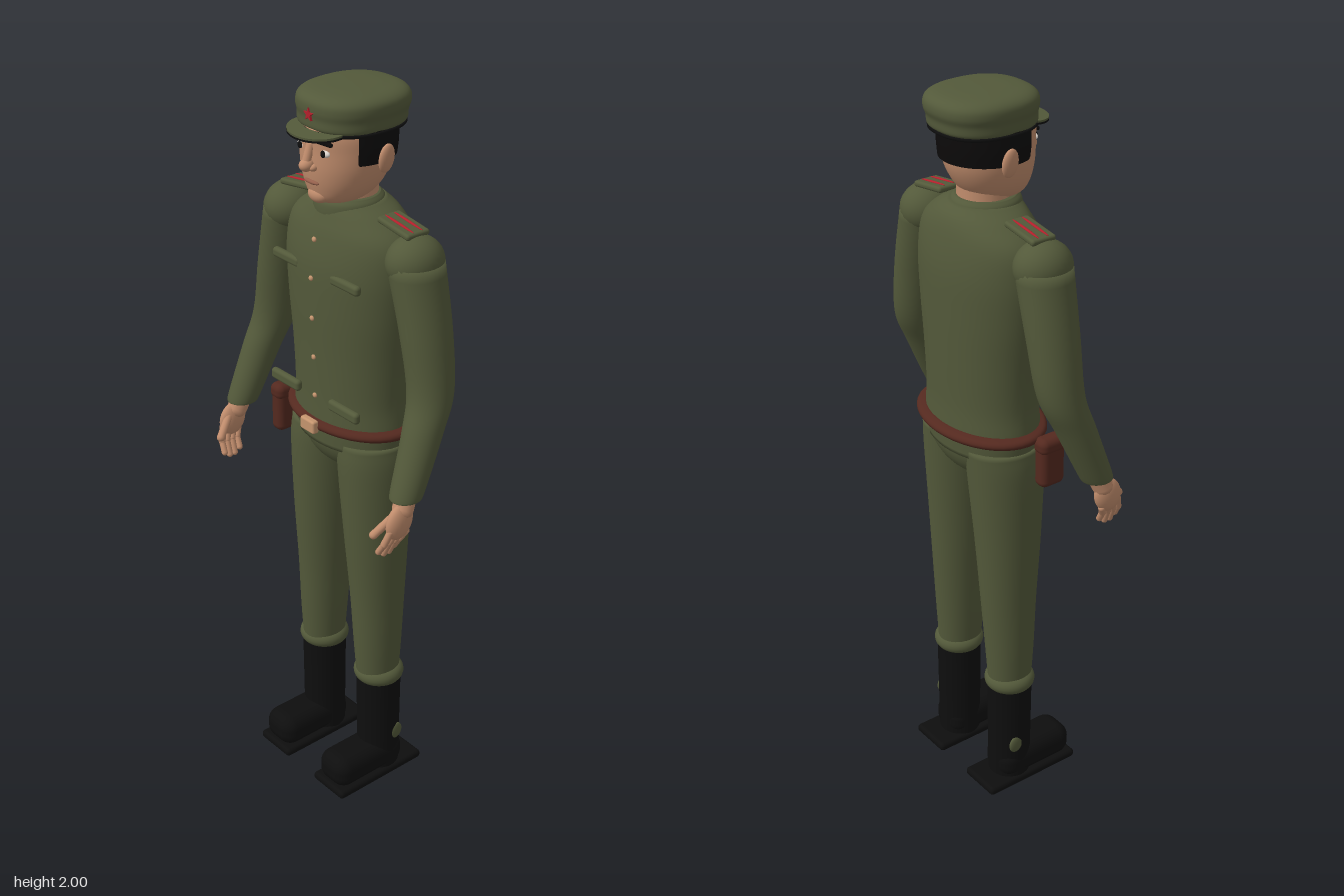
import * as THREE from 'three';
import { RoundedBoxGeometry } from 'three/addons/geometries/RoundedBoxGeometry.js';

const mat = (name, color, side = THREE.FrontSide) => {
  const m = new THREE.MeshStandardMaterial({ color, side });
  m.name = name;
  return m;
};

// Smooth body through horizontal sections [y, cx, cz, rx, rz]; n > 2 squares the outline off
function loft(rows, { n = 2, steps = 6, seg = 40, from = 0, to = Math.PI * 2, caps = true } = {}) {
  const closed = to - from > 6.28;
  const a = new THREE.CatmullRomCurve3(rows.map(r => new THREE.Vector3(r[1], r[0], r[2])), false, 'catmullrom');
  const b = new THREE.CatmullRomCurve3(rows.map(r => new THREE.Vector3(r[3], r[4], 0)), false, 'catmullrom');
  const count = (rows.length - 1) * steps, cols = closed ? seg : seg + 1;
  const pos = [], idx = [];
  const pw = v => Math.sign(v) * Math.abs(v) ** (2 / n);
  for (let i = 0; i <= count; i++) {
    const c = a.getPoint(i / count), r = b.getPoint(i / count);
    for (let j = 0; j < cols; j++) {
      const t = from + (to - from) * j / seg;
      pos.push(c.x + r.x * pw(Math.cos(t)), c.y, c.z + r.y * pw(Math.sin(t)));
    }
  }
  for (let i = 0; i < count; i++) for (let j = 0; j < seg; j++) {
    const k = (j + 1) % cols, p = i * cols, q = p + cols;
    idx.push(p + j, q + j, p + k, p + k, q + j, q + k);
  }
  if (closed && caps) {
    const lo = a.getPoint(0), hi = a.getPoint(1), base = pos.length / 3, last = count * cols;
    pos.push(lo.x, lo.y, lo.z, hi.x, hi.y, hi.z);
    for (let j = 0; j < seg; j++) {
      const k = (j + 1) % cols;
      idx.push(base, j, k, base + 1, last + k, last + j);
    }
  }
  const g = new THREE.BufferGeometry();
  g.setAttribute('position', new THREE.Float32BufferAttribute(pos, 3));
  g.setIndex(idx);
  g.computeVertexNormals();
  return g;
}

const ball = (rx, ry, rz) => new THREE.SphereGeometry(1, 28, 20).scale(rx, ry, rz);
const box = (w, h, d, r) => new RoundedBoxGeometry(w, h, d, 4, r);

export function createModel() {
  const root = new THREE.Group();
  root.name = 'soldier';
  const green = mat('uniformGreen', 0x53593a);
  const skin = mat('skin', 0xc08c6c);
  const black = mat('black', 0x0e0e0e);
  const hairBlack = mat('hairBlack', 0x0c0a0a, THREE.DoubleSide);
  const brown = mat('leatherBrown', 0x54291f);
  const red = mat('red', 0xb3202c);
  const brass = mat('brass', 0xc4946e);
  const lip = mat('lip', 0x94604c);
  const white = mat('eyeWhite', 0xe0d8d0);

  const add = (name, geo, m, x = 0, y = 0, z = 0) => {
    const mesh = new THREE.Mesh(geo, m);
    mesh.name = name;
    mesh.position.set(x, y, z);
    root.add(mesh);
    return mesh;
  };
  const rod = (name, p, q, r, m) => {
    const a = new THREE.Vector3(...p), b = new THREE.Vector3(...q), d = b.clone().sub(a);
    const mesh = add(name, new THREE.CapsuleGeometry(r, d.length(), 6, 12), m);
    mesh.position.copy(a.add(b).multiplyScalar(0.5));
    mesh.quaternion.setFromUnitVectors(new THREE.Vector3(0, 1, 0), d.normalize());
  };

  // Tunic, collar and pelvis
  add('tunic', loft([
    [1.06, 0, -0.033, 0.178, 0.122], [1.12, 0, -0.033, 0.183, 0.126], [1.2, 0, -0.032, 0.177, 0.125],
    [1.32, 0, -0.032, 0.184, 0.128], [1.45, 0, -0.031, 0.199, 0.132], [1.56, 0, -0.031, 0.206, 0.132],
    [1.64, 0, -0.032, 0.193, 0.12], [1.69, 0, -0.032, 0.14, 0.104], [1.72, 0, -0.025, 0.085, 0.085],
  ]), green);
  add('collar', loft([
    [1.68, 0, -0.022, 0.092, 0.092], [1.7, 0, -0.02, 0.091, 0.091], [1.72, 0, -0.02, 0.087, 0.088], [1.732, 0, -0.02, 0.076, 0.077],
  ]), green);
  add('pelvis', ball(0.178, 0.125, 0.118), green, 0, 1.085, -0.035);

  // Belt, buckle and holster
  add('belt', loft([
    [1.106, 0, -0.036, 0.18, 0.125], [1.111, 0, -0.036, 0.2, 0.14], [1.121, 0, -0.036, 0.206, 0.146],
    [1.131, 0, -0.036, 0.2, 0.14], [1.136, 0, -0.036, 0.18, 0.125],
  ]), brown);
  add('buckle', box(0.055, 0.036, 0.02, 0.006), brass, 0, 1.121, 0.113);
  add('holster', box(0.045, 0.14, 0.075, 0.018), brown, -0.214, 1.06, 0.022);
  add('holsterFlap', box(0.05, 0.045, 0.08, 0.018), brown, -0.214, 1.108, 0.022);

  // Tunic buttons
  for (const [y, z] of [[1.63, 0.092], [1.53, 0.103], [1.42, 0.101], [1.31, 0.097], [1.2, 0.094]])
    add('button', ball(0.007, 0.007, 0.005), brass, 0, y, z);

  // Neck, head and face
  add('neck', new THREE.CylinderGeometry(0.068, 0.07, 0.1, 28), skin, 0, 1.73, -0.025);
  add('head', loft([
    [1.718, 0, 0.01, 0.03, 0.04], [1.732, 0, 0.008, 0.062, 0.075], [1.765, 0, -0.002, 0.09, 0.098],
    [1.81, 0, -0.01, 0.107, 0.113], [1.86, 0, -0.014, 0.113, 0.117], [1.91, 0, -0.016, 0.112, 0.117],
    [1.95, 0, -0.02, 0.09, 0.095],
  ]), skin);
  add('chin', ball(0.032, 0.022, 0.022), skin, 0, 1.745, 0.076);
  rod('noseBridge', [0, 1.875, 0.1], [0, 1.835, 0.114], 0.011, skin);
  add('noseTip', ball(0.017, 0.016, 0.02), skin, 0, 1.827, 0.113);
  add('mouth', ball(0.027, 0.006, 0.008), lip, 0, 1.782, 0.098);
  add('hair', loft([
    [1.832, 0, -0.02, 0.114, 0.118], [1.87, 0, -0.02, 0.118, 0.121], [1.92, 0, -0.02, 0.117, 0.121],
  ], { from: Math.PI * 0.84, to: Math.PI * 2.16 }), hairBlack);

  // Cap with visor, strap and star
  add('capStrap', loft([
    [1.901, 0, -0.03, 0.112, 0.122], [1.905, 0, -0.03, 0.12, 0.13], [1.912, 0, -0.03, 0.12, 0.13],
  ], { n: 2.3, steps: 2 }), black);
  add('cap', loft([
    [1.91, 0, -0.03, 0.115, 0.125], [1.918, 0, -0.03, 0.119, 0.131], [1.938, 0, -0.031, 0.12, 0.132],
    [1.958, 0, -0.033, 0.124, 0.137], [1.98, 0, -0.033, 0.12, 0.133], [1.994, 0, -0.033, 0.098, 0.11],
    [2.0, 0, -0.033, 0.05, 0.06],
  ], { n: 2.4, steps: 4 }), green);
  const visor = (name, m, y) => {
    const v = add(name, new THREE.CylinderGeometry(1, 1, 0.005, 40).scale(0.084, 1, 0.068), m, 0, y, 0.078);
    v.rotation.x = 0.08;
  };
  visor('visorTop', green, 1.911);
  visor('visorUnderside', black, 1.906);
  const star = new THREE.Shape(Array.from({ length: 10 }, (_, i) => {
    const r = i % 2 ? 0.007 : 0.017, t = Math.PI / 2 + i * Math.PI / 5;
    return new THREE.Vector2(r * Math.cos(t), r * Math.sin(t));
  }));
  add('star', new THREE.ExtrudeGeometry(star, { depth: 0.006, bevelEnabled: false }), red, 0, 1.95, 0.102);

  // Everything that comes in pairs
  for (const s of [1, -1]) {
    // Face details
    add('eye', ball(0.016, 0.009, 0.008), white, s * 0.043, 1.862, 0.091);
    add('pupil', ball(0.008, 0.009, 0.004), black, s * 0.043, 1.862, 0.098);
    const brow = add('eyebrow', box(0.042, 0.01, 0.012, 0.004), hairBlack, s * 0.045, 1.888, 0.094);
    brow.rotation.set(0, s * 0.35, s * -0.12);
    add('nostril', ball(0.01, 0.009, 0.012), skin, s * 0.014, 1.822, 0.104);
    const ear = add('ear', ball(0.012, 0.038, 0.023), skin, s * 0.118, 1.842, -0.036);
    ear.rotation.z = s * -0.15;

    // Pocket flaps
    add('chestPocket', box(0.105, 0.026, 0.02, 0.009), green, s * 0.112, 1.545, 0.087);
    add('lowerPocket', box(0.112, 0.03, 0.02, 0.009), green, s * 0.116, 1.2, 0.094);

    // Shoulder boards with two stripes
    const board = new THREE.Group();
    board.name = 'shoulderBoard';
    board.position.set(s * 0.188, 1.694, -0.03);
    board.rotation.z = s * -0.14;
    root.add(board);
    const plate = new THREE.Mesh(box(0.115, 0.016, 0.072, 0.007), green);
    plate.name = 'boardPlate';
    board.add(plate);
    for (const z of [-0.014, 0.014]) {
      const stripe = new THREE.Mesh(ball(0.052, 0.003, 0.004), red);
      stripe.name = 'boardStripe';
      stripe.position.set(0, 0.0085, z);
      board.add(stripe);
    }

    // Arm
    add('shoulder', ball(0.068, 0.068, 0.077), green, s * 0.236, 1.618, -0.027);
    add('sleeve', loft([
      [1.045, s * 0.335, 0.078, 0.036, 0.04], [1.06, s * 0.334, 0.072, 0.042, 0.045],
      [1.2, s * 0.322, 0.015, 0.05, 0.054], [1.3, s * 0.307, -0.022, 0.057, 0.061],
      [1.45, s * 0.279, -0.028, 0.062, 0.069], [1.62, s * 0.238, -0.027, 0.066, 0.076],
    ]), green);

    // Hand
    rod('wrist', [s * 0.336, 1.06, 0.075], [s * 0.341, 1.02, 0.092], 0.028, skin);
    const palm = add('palm', ball(0.021, 0.05, 0.04), skin, s * 0.345, 0.99, 0.107);
    palm.rotation.x = -0.35;
    for (let i = 0; i < 4; i++) {
      const z = 0.138 - i * 0.017, drop = [0.908, 0.897, 0.897, 0.908][i];
      rod('finger', [s * 0.348, 0.972 - i * 0.005, z], [s * 0.338, 0.935, z + 0.012], 0.0095, skin);
      rod('fingertip', [s * 0.338, 0.935, z + 0.012], [s * 0.322, drop, z + 0.016], 0.0085, skin);
    }
    rod('thumb', [s * 0.338, 1.005, 0.125], [s * 0.318, 0.962, 0.168], 0.011, skin);

    // Trouser leg and cuff
    add('trouserLeg', loft([
      [0.33, s * 0.117, -0.028, 0.055, 0.062], [0.45, s * 0.115, -0.028, 0.062, 0.07],
      [0.6, s * 0.111, -0.029, 0.069, 0.079], [0.8, s * 0.105, -0.028, 0.081, 0.093],
      [1.0, s * 0.097, -0.03, 0.092, 0.106], [1.08, s * 0.093, -0.034, 0.088, 0.108],
    ]), green);
    add('cuff', new THREE.TorusGeometry(0.046, 0.024, 16, 36).rotateX(Math.PI / 2), green, s * 0.119, 0.338, -0.03);

    // Boot
    add('bootShaft', new THREE.CylinderGeometry(0.062, 0.059, 0.31, 32), black, s * 0.119, 0.175, -0.03);
    add('bootUpper', box(0.116, 0.095, 0.24, 0.04), black, s * 0.121, 0.063, 0.035);
    add('sole', box(0.128, 0.025, 0.3, 0.011), black, s * 0.121, 0.0125, 0.01);
    add('trouserPatch', ball(0.008, 0.026, 0.022), green, s * 0.174, 0.14, -0.048);
  }
  return root;
}
